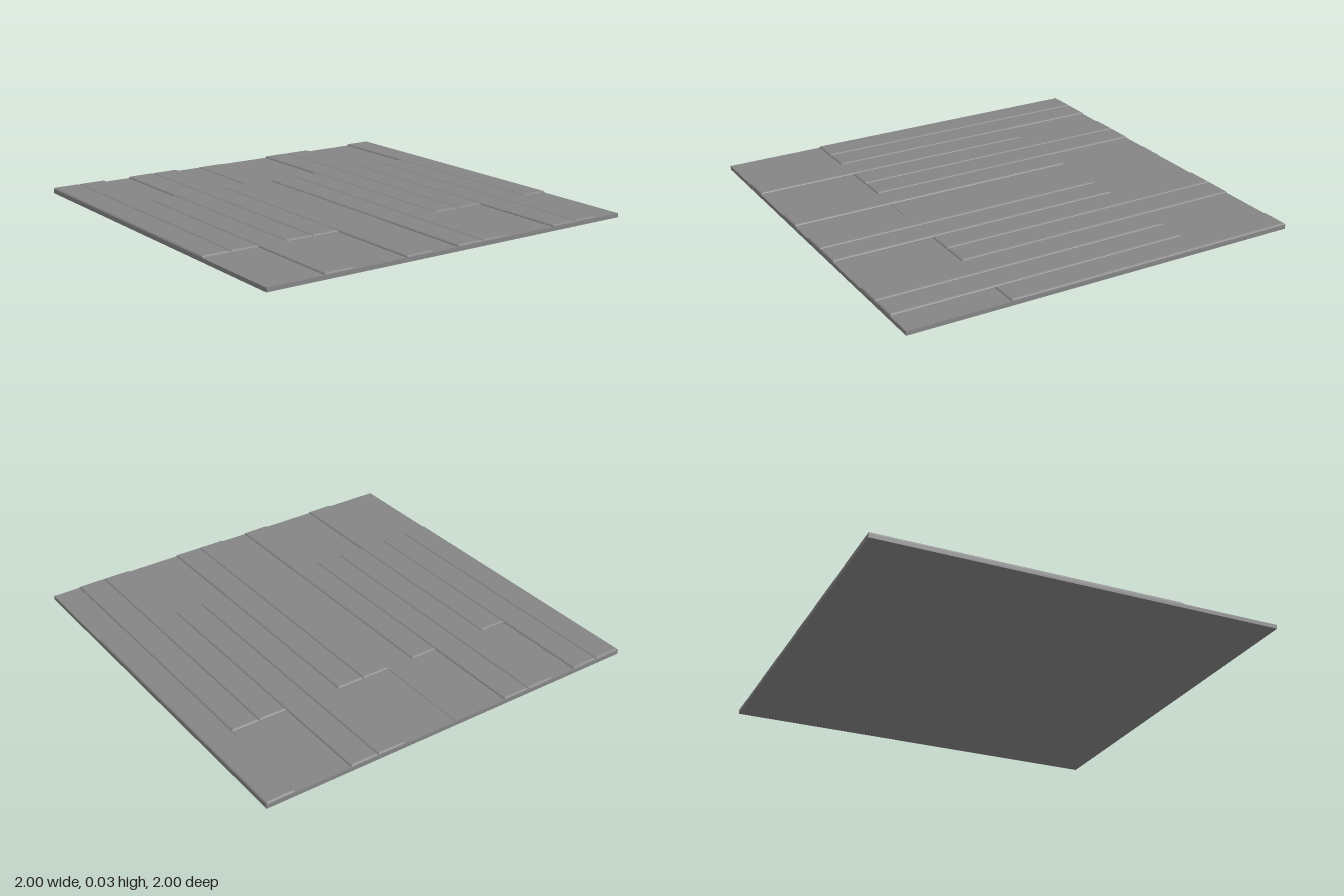
import * as THREE from 'three';

const ROWS = 14;
const ROW_WIDTH = 2 / ROWS;
const BASE_HEIGHT = 0.02;
const PLANK_LENGTH = 1.5;
const BEVEL = 0.012;

// Which end each row's board is pushed to: L = -x, R = +x, F = flush board
const LAYOUT = 'LRRLLRRFRLLRLL';

// A board with rounded edges; its widest outline lies at y = 0 and its lower half sinks into the slab
function roundedBoard(length, width, height) {
  const x = length / 2 - BEVEL;
  const z = width / 2 - BEVEL;
  const outline = new THREE.Shape([
    new THREE.Vector2(-x, -z),
    new THREE.Vector2(x, -z),
    new THREE.Vector2(x, z),
    new THREE.Vector2(-x, z),
  ]);
  const geometry = new THREE.ExtrudeGeometry(outline, {
    depth: 0,
    bevelSize: BEVEL,
    bevelThickness: height,
    bevelSegments: 4,
  });
  return geometry.rotateX(-Math.PI / 2);
}

export function createModel() {
  const group = new THREE.Group();
  group.name = 'plankFloor';
  const material = new THREE.MeshStandardMaterial({ color: 0x858585, flatShading: true });

  // Base slab
  const base = new THREE.Mesh(new THREE.BoxGeometry(2, BASE_HEIGHT, 2), material);
  base.name = 'baseSlab';
  base.position.y = BASE_HEIGHT / 2;
  group.add(base);

  // Staggered boards, one per row from back to front
  const raised = roundedBoard(PLANK_LENGTH, ROW_WIDTH, 0.01);
  const flush = new THREE.BoxGeometry(PLANK_LENGTH, 0.004, ROW_WIDTH);
  const shift = 1 - PLANK_LENGTH / 2;
  [...LAYOUT].forEach((kind, row) => {
    const plank = new THREE.Mesh(kind === 'F' ? flush : raised, material);
    plank.name = kind === 'F' ? 'flushPlank' : `plank${row + 1}`;
    plank.position.set(kind === 'R' ? shift : -shift, BASE_HEIGHT, -1 + (row + 0.5) * ROW_WIDTH);
    group.add(plank);
  });

  return group;
}
